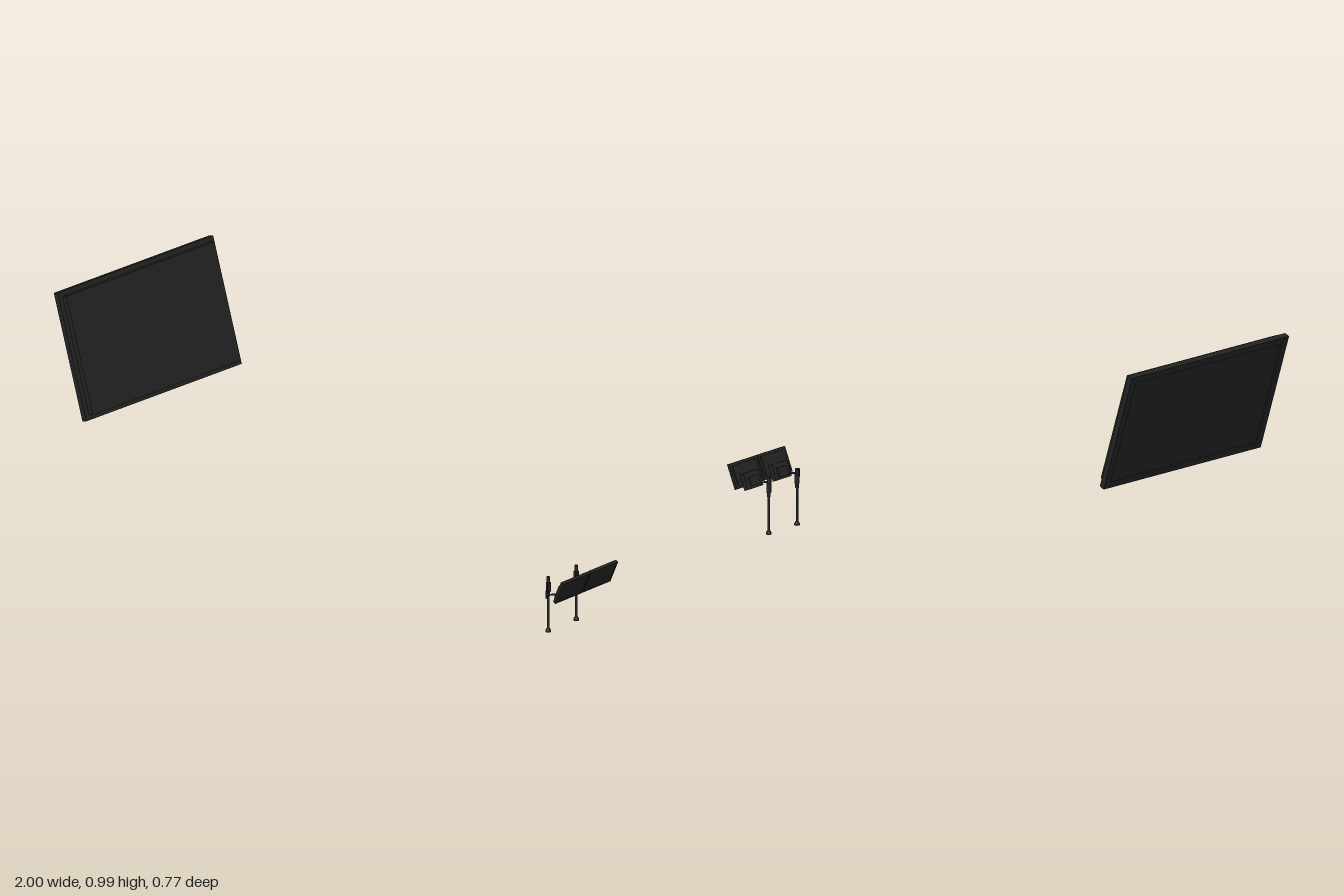
import * as THREE from 'three';

const dark = new THREE.MeshStandardMaterial({ color: 0x222222 });

function add(parent, name, geometry, x = 0, y = 0, z = 0) {
  const mesh = new THREE.Mesh(geometry, dark);
  mesh.name = name;
  mesh.position.set(x, y, z);
  parent.add(mesh);
  return mesh;
}

// round bar between two points
function bar(parent, name, a, b, radius) {
  const path = new THREE.LineCurve3(new THREE.Vector3(...a), new THREE.Vector3(...b));
  return add(parent, name, new THREE.TubeGeometry(path, 1, radius, 8));
}

const rect = (shape, w, h) => shape
  .moveTo(-w / 2, -h / 2).lineTo(w / 2, -h / 2)
  .lineTo(w / 2, h / 2).lineTo(-w / 2, h / 2).closePath();

// display facing +x: a bezel ring around a recessed screen, plus a rear housing
function display(name, w, h, depth, bezel, recess, rearDepth, rearInset) {
  const group = new THREE.Group();
  group.name = name;
  const shape = rect(new THREE.Shape(), w, h);
  shape.holes.push(rect(new THREE.Path(), w - 2 * bezel, h - 2 * bezel));
  const ring = new THREE.ExtrudeGeometry(shape, { depth, bevelEnabled: false });
  ring.translate(0, 0, -depth / 2).rotateY(Math.PI / 2);
  add(group, 'bezel', ring);
  add(group, 'screen', new THREE.BoxGeometry(depth - recess, h - 2 * bezel, w - 2 * bezel), -recess / 2);
  add(group, 'rearHousing',
    new THREE.BoxGeometry(rearDepth, h - 2 * rearInset, w - 2 * rearInset), -(depth + rearDepth) / 2);
  return group;
}

// small monitor on a post with a folding arm
function station(name) {
  const group = new THREE.Group();
  group.name = name;
  const profile = [[0, 0], [0.010, 0], [0.010, 0.006], [0.006, 0.013], [0.0045, 0.013],
    [0.0045, 0.14], [0.0065, 0.14], [0.0065, 0.212], [0, 0.212]];
  add(group, 'post', new THREE.LatheGeometry(
    profile.map(([r, y]) => new THREE.Vector2(r, y)), 16));
  add(group, 'postClamp', new THREE.CylinderGeometry(0.009, 0.009, 0.034, 16), 0, 0.173, 0);

  // twin-rod inner arm, elbow, single outer arm
  for (const y of [0.163, 0.183]) bar(group, 'innerArm', [0, y, 0], [0.045, y, 0.055], 0.0028);
  add(group, 'elbow', new THREE.CylinderGeometry(0.004, 0.004, 0.03, 12), 0.045, 0.173, 0.055);
  bar(group, 'outerArm', [0.045, 0.172, 0.055], [0.085, 0.172, 0.004], 0.0035);

  // tilted monitor with the mounting box low on its back
  const monitor = display('monitor', 0.14, 0.095, 0.012, 0.004, 0.0015, 0.004, 0.01);
  add(monitor, 'mountBox', new THREE.BoxGeometry(0.02, 0.06, 0.078), -0.018, -0.031, 0);
  add(monitor, 'mountPlate', new THREE.BoxGeometry(0.008, 0.035, 0.045), -0.032, -0.035, 0);
  monitor.position.set(0.115, 0.204, 0);
  monitor.rotation.z = -0.42;
  group.add(monitor);
  group.rotation.y = -0.06;
  return group;
}

export function createModel() {
  const model = new THREE.Group();
  model.name = 'displays';

  // large wall screen, facing -x and leaning downward
  const wallScreen = new THREE.Group();
  wallScreen.name = 'wallScreen';
  const panel = display('largeDisplay', 0.748, 0.475, 0.022, 0.026, 0.006, 0.022, 0.018);
  panel.rotation.y = Math.PI;
  panel.position.x = -0.011;
  wallScreen.add(panel);
  wallScreen.rotation.set(0.01, -0.131, 0.314, 'YZX');
  wallScreen.position.set(-0.861, 0.759, 0);
  model.add(wallScreen);

  // pair of desk stations
  [[0.846, -0.179], [0.854, -0.323]].forEach(([x, z], i) => {
    const s = station(i ? 'rearStation' : 'frontStation');
    s.position.set(x, 0, z);
    model.add(s);
  });
  return model;
}
